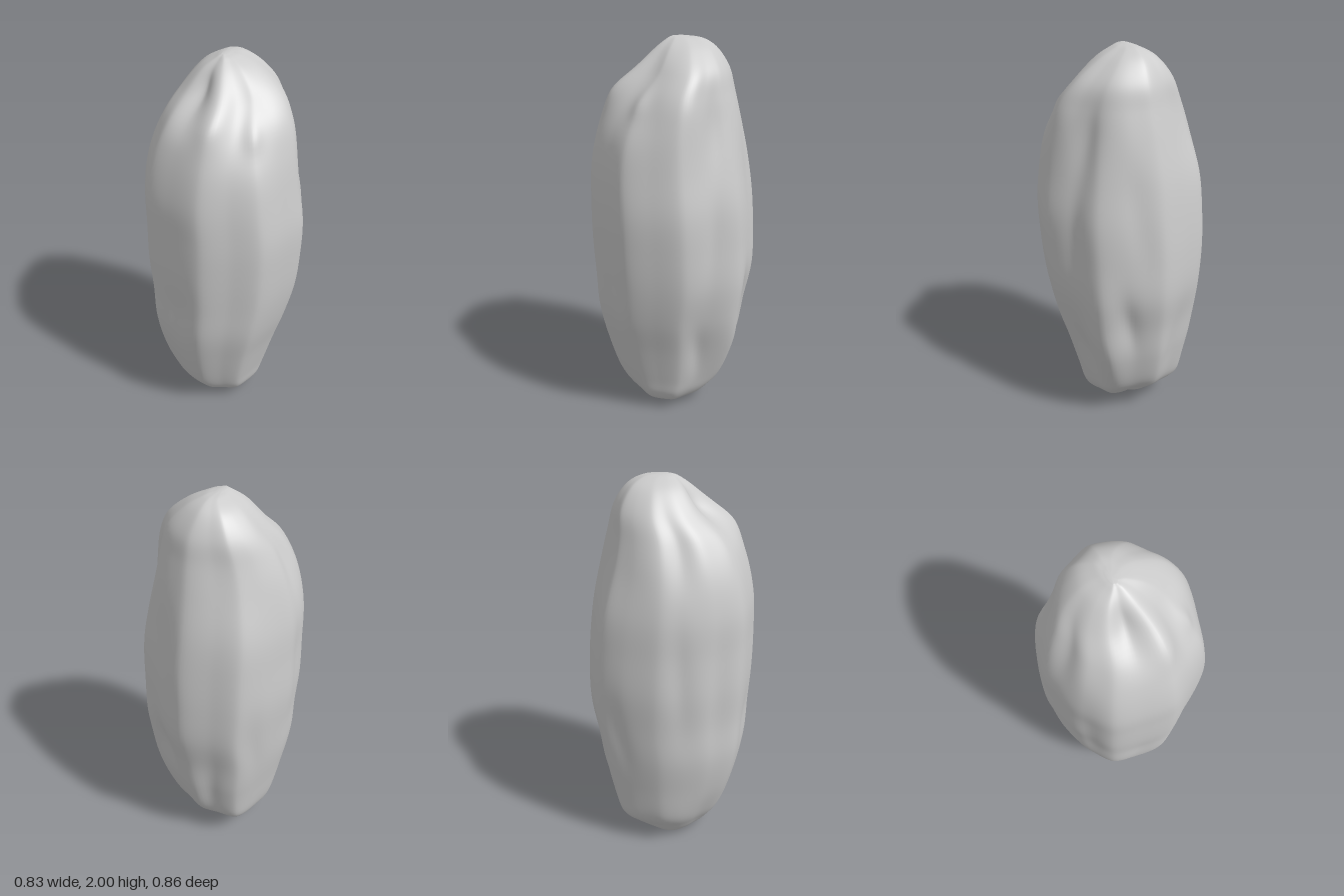
import * as THREE from 'three';

const AROUND = 120, ALONG = 100;

// Lumpy cross-section, seen from above (x, z), at the widest point
const outline = new THREE.CatmullRomCurve3([
  [0.415, 0], [0.38, 0.15], [0.325, 0.285], [0.2, 0.36], [0.065, 0.43], [-0.1, 0.41], [-0.25, 0.365],
  [-0.35, 0.23], [-0.4, 0.09], [-0.415, -0.04], [-0.37, -0.21], [-0.3, -0.335], [-0.17, -0.385],
  [-0.01, -0.43], [0.15, -0.375], [0.285, -0.295], [0.355, -0.15],
].map(([x, z]) => new THREE.Vector3(x / 0.415, 0, z / 0.43)), true, 'catmullrom', 0.4);

// Height, then extents: left edge, right edge, back edge, front edge
const levels = [
  [0.06, -0.03, 0.02, -0.02, 0.03], [0.042, -0.12, 0.08, -0.09, 0.12], [0.045, -0.19, 0.15, -0.14, 0.19],
  [0.1, -0.25, 0.2, -0.21, 0.25], [0.2, -0.31, 0.23, -0.3, 0.31], [0.4, -0.35, 0.285, -0.36, 0.37],
  [0.6, -0.385, 0.345, -0.39, 0.41], [0.8, -0.4, 0.39, -0.425, 0.42], [1, -0.415, 0.41, -0.425, 0.43],
  [1.2, -0.41, 0.415, -0.41, 0.43], [1.4, -0.4, 0.39, -0.38, 0.42], [1.6, -0.36, 0.36, -0.335, 0.375],
  [1.74, -0.305, 0.32, -0.3, 0.31], [1.85, -0.235, 0.25, -0.27, 0.19], [1.94, -0.15, 0.14, -0.21, 0.1],
  [1.985, -0.07, 0.05, -0.14, 0.04], [1.998, -0.035, 0.0, -0.06, 0.01],
];
const widths = new THREE.CatmullRomCurve3(levels.map(l => new THREE.Vector3(l[1], l[0], l[2])), false, 'catmullrom', 0.5);
const depths = new THREE.CatmullRomCurve3(levels.map(l => new THREE.Vector3(l[3], l[0], l[4])), false, 'catmullrom', 0.5);

// Wrinkles: angle (0 = left side, 90 = front), height, angular and vertical spread, amount, slant
const folds = [
  // tip and shoulders
  [108, 1.86, 14, 0.1, -0.2, 0], [80, 1.82, 12, 0.1, 0.12, 0], [44, 1.78, 24, 0.17, -0.19, 10],
  [40, 1.72, 9, 0.06, 0.05, 0], [170, 1.72, 13, 0.18, -0.09, 0], [135, 1.75, 18, 0.14, -0.05, 0],
  [-36, 1.62, 13, 0.22, -0.1, -25], [-10, 1.75, 10, 0.16, 0.04, 0], [-68, 1.6, 12, 0.2, 0.03, 0],
  [-135, 1.66, 22, 0.22, -0.08, 0],
  // long folds along the body
  [-75, 1.25, 10, 0.3, -0.025, 20], [-25, 1.15, 8, 0.25, -0.03, -20], [142, 1.0, 9, 0.35, -0.035, 0],
  [102, 0.68, 12, 0.16, -0.03, 0], [170, 1.1, 8, 0.3, -0.03, 10], [-145, 0.75, 9, 0.25, -0.025, 15],
  // lower end
  [-42, 0.45, 16, 0.32, 0.13, 0], [-64, 0.66, 8, 0.16, -0.05, 15], [-16, 0.4, 8, 0.16, -0.05, 15],
  [-108, 0.4, 9, 0.22, -0.04, -15], [-135, 0.1, 20, 0.12, 0.08, 0], [135, 0.15, 22, 0.16, -0.1, 0],
  [-80, 0.08, 14, 0.09, -0.12, 0],
];
function wrinkle(deg, y) {
  let s = 1;
  for (const [a, h, da, dh, amount, slant] of folds) {
    const d = ((deg - a - slant * (y - h) + 540) % 360 + 360) % 360 - 180;
    s += amount * Math.exp(-((d / da) ** 2) - ((y - h) / dh) ** 2);
  }
  return s;
}

function fruitGeometry() {
  const pos = [], index = [];
  const ring = outline.getPoints(AROUND).slice(0, AROUND);
  for (let j = 0; j <= ALONG; j++) {
    const w = widths.getPoint(j / ALONG), d = depths.getPoint(j / ALONG);
    for (const p of ring) {
      const deg = Math.atan2(p.z, p.x) * 180 / Math.PI;
      const s = wrinkle(deg, w.y);
      const x = (w.x + w.z) / 2 + p.x * s * (w.z - w.x) / 2;
      const z = (d.x + d.z) / 2 + p.z * s * (d.z - d.x) / 2;
      // small knob and puckered rim at the base
      const knob = 0.056 * Math.exp(-(((x + 0.14) / 0.08) ** 2) - ((z - 0.01) / 0.1) ** 2)
        + 0.016 * Math.exp(-(((x - 0.1) / 0.08) ** 2) - ((z - 0.05) / 0.12) ** 2);
      pos.push(x, w.y - (w.y < 0.2 ? knob * (1 - w.y / 0.2) : 0), z);
    }
  }
  // ring centres close both ends
  const base = pos.length / 3;
  pos.push(-0.005, 0.062, 0.005, -0.018, 2, -0.025);
  for (let i = 0; i < AROUND; i++) {
    const n = (i + 1) % AROUND, top = ALONG * AROUND;
    for (let j = 0; j < ALONG; j++) {
      const a = j * AROUND + i, b = j * AROUND + n;
      index.push(a, a + AROUND, b, b, a + AROUND, b + AROUND);
    }
    index.push(base, i, n, base + 1, top + n, top + i);
  }
  const g = new THREE.BufferGeometry();
  g.setAttribute('position', new THREE.Float32BufferAttribute(pos, 3));
  g.setIndex(index);
  g.computeVertexNormals();
  return g;
}

export function createModel() {
  const group = new THREE.Group();
  group.name = 'driedFruit';
  const fruit = new THREE.Mesh(fruitGeometry(), new THREE.MeshStandardMaterial({ color: 0xcccccc, roughness: 0.8 }));
  fruit.name = 'wrinkledBody';
  group.add(fruit);
  return group;
}
